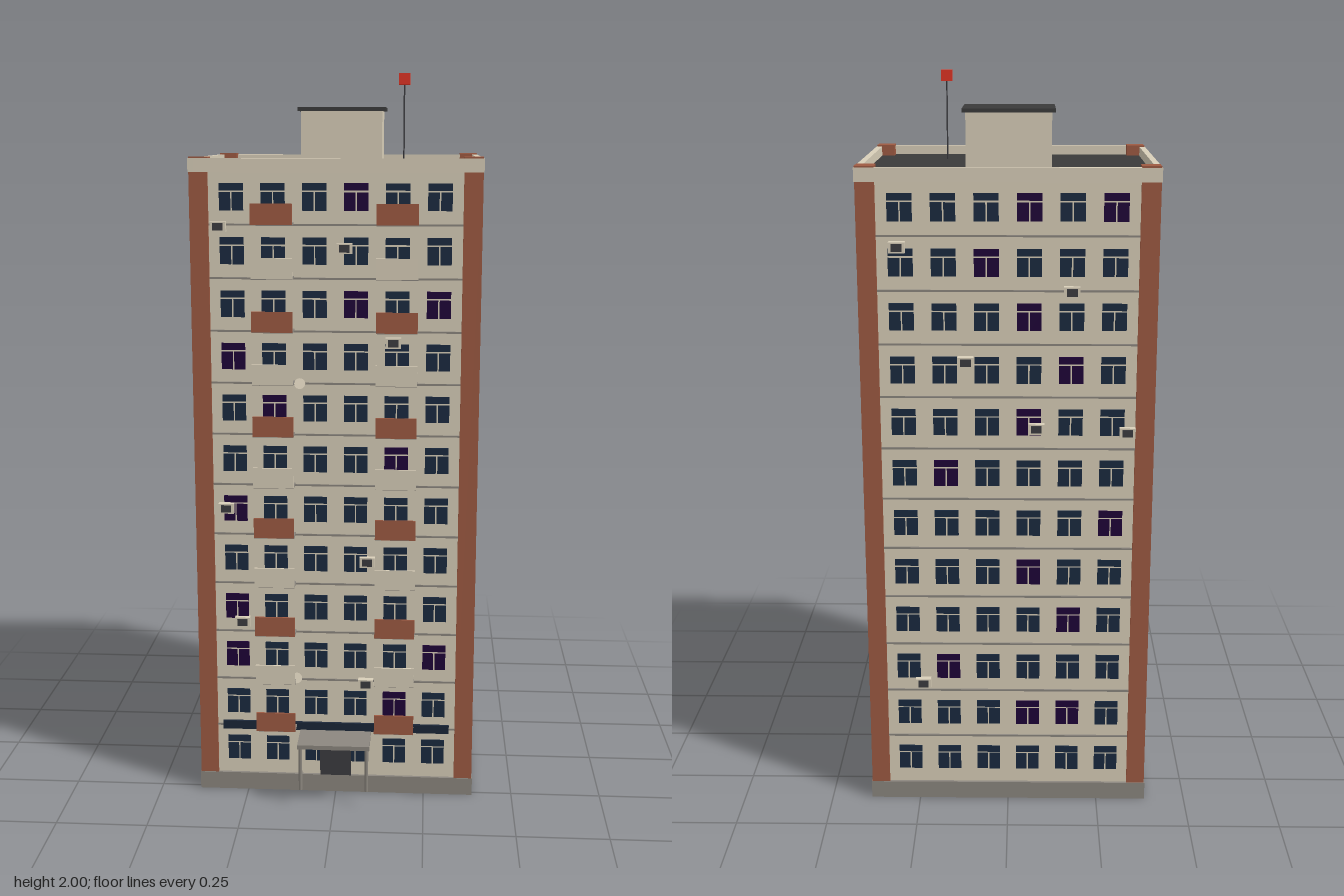
import * as THREE from 'three';
import { mergeGeometries } from 'three/addons/utils/BufferGeometryUtils.js';

const mat = (name, color) => {
  const m = new THREE.MeshStandardMaterial({ color });
  m.name = name;
  return m;
};

export function createModel() {
  const M = {
    wall: mat('beige wall', 0xd9cfb9),
    brick: mat('brick', 0x9e5a42),
    concrete: mat('concrete', 0x8c877f),
    roof: mat('dark roof', 0x3a3a3a),
    glass: mat('blue glass', 0x1a2a40),
    curtain: mat('purple glass', 0x1e0238),
    band: mat('navy band', 0x1a2638),
    metal: mat('dark metal', 0x3c3c40),
    red: mat('beacon red', 0xe03322),
  };
  const model = new THREE.Group();
  model.name = 'apartmentTower';

  const boxGeo = (w, h, d, x, y, z) => new THREE.BoxGeometry(w, h, d).translate(x, y, z);
  const add = (name, material, geos) => {
    const mesh = new THREE.Mesh(Array.isArray(geos) ? mergeGeometries(geos) : geos, material);
    mesh.name = name;
    model.add(mesh);
  };

  // Overall sizes: the tower sits a little behind the origin
  const ZC = -0.047, HX = 0.38, HZ = 0.305, BASE = 0.05, TOP = 1.745, FLOORS = 12;
  const STEP = (TOP - BASE) / FLOORS;
  const FRONT = ZC + HZ, BACK = ZC - HZ;

  // Main body
  add('plinth', M.concrete, boxGeo(0.776, BASE, 0.626, 0, BASE / 2, ZC));
  add('walls', M.wall, boxGeo(2 * HX, TOP - BASE, 2 * HZ, 0, (TOP + BASE) / 2, ZC));
  add('roofDeck', M.roof, boxGeo(0.75, 0.01, 0.6, 0, TOP + 0.005, ZC));

  // Brick corner piers, parapet and floor ledges
  const piers = [];
  for (const sx of [-1, 1]) for (const sz of [-1, 1]) {
    piers.push(boxGeo(0.05, 1.784 - BASE, 0.05, sx * 0.361, (1.784 + BASE) / 2, ZC + sz * 0.286));
  }
  add('cornerPiers', M.brick, piers);
  const parapet = [];
  for (const s of [-1, 1]) {
    parapet.push(boxGeo(0.776, 0.036, 0.016, 0, 1.762, ZC + s * 0.305));
    parapet.push(boxGeo(0.016, 0.036, 0.626, s * 0.38, 1.762, ZC));
  }
  add('parapet', M.wall, parapet);
  const ledges = [];
  for (let i = 1; i < FLOORS; i++) {
    const y = BASE + i * STEP + 0.004;
    ledges.push(boxGeo(0.672, 0.005, 2 * HZ + 0.008, 0, y, ZC));
    ledges.push(boxGeo(2 * HX + 0.008, 0.005, 0.522, 0, y, ZC));
  }
  add('floorLedges', M.concrete, ledges);

  // Windows: a top light above two casements; each face lists its curtained windows as floor * 10 + column
  const panes = { glass: [], curtain: [] };
  const faces = [
    { n: 6, gap: 0.11, off: HZ, turn: 0, mid: 0,
      lit: [124, 104, 106, 91, 82, 75, 61, 41, 31, 36, 25] },
    { n: 6, gap: 0.11, off: HZ, turn: Math.PI, mid: 0,
      lit: [124, 126, 113, 104, 95, 84, 72, 66, 54, 45, 32, 24, 25] },
    { n: 4, gap: 0.125, off: HX, turn: Math.PI / 2, mid: -0.006,
      lit: [124, 111, 102, 94, 81, 72, 64, 52, 41, 32, 24] },
    { n: 4, gap: 0.125, off: HX, turn: -Math.PI / 2, mid: 0.006,
      lit: [122, 113, 101, 83, 74, 62, 51, 43, 31, 22] },
  ];
  for (const f of faces) {
    for (let i = 0; i < FLOORS; i++) for (let j = 0; j < f.n; j++) {
      const x = (j - (f.n - 1) / 2) * f.gap + f.mid;
      const y = BASE + i * STEP + 0.077;
      const z = f.off + 0.001;
      const list = f.lit.includes((i + 1) * 10 + j + 1) ? panes.curtain : panes.glass;
      const parts = [
        boxGeo(0.064, 0.019, 0.004, x, y + 0.026, z),
        boxGeo(0.03, 0.048, 0.004, x - 0.017, y - 0.012, z),
        boxGeo(0.03, 0.048, 0.004, x + 0.017, y - 0.012, z),
      ];
      for (const g of parts) list.push(g.rotateY(f.turn).translate(0, 0, ZC));
    }
  }
  add('windows', M.glass, panes.glass);
  add('curtainedWindows', M.curtain, panes.curtain);

  // Balconies: two columns, brick and beige fronts alternating by floor
  const slabs = [], fronts = { brick: [], wall: [] };
  for (let i = 1; i < FLOORS; i++) {
    const y = BASE + i * STEP + 0.008;
    for (const s of [-1, 1]) {
      slabs.push(boxGeo(0.11, 0.006, 0.05, s * 0.165, y, FRONT + 0.024));
      fronts[i % 2 ? 'brick' : 'wall'].push(
        boxGeo(0.11, 0.055, 0.005, s * 0.165, y + 0.0265, FRONT + 0.05));
    }
  }
  add('balconySlabs', M.concrete, slabs);
  add('brickBalconyFronts', M.brick, fronts.brick);
  add('beigeBalconyFronts', M.wall, fronts.wall);

  // Entrance: door, canopy on two posts, band above
  add('door', M.metal, boxGeo(0.088, 0.115, 0.008, 0, BASE + 0.0575, FRONT + 0.004));
  add('entranceCanopy', M.concrete, boxGeo(0.2, 0.012, 0.112, 0, 0.18, 0.314));
  add('canopyPosts', M.concrete, [-1, 1].map((s) =>
    new THREE.CylinderGeometry(0.005, 0.005, 0.126, 8).translate(s * 0.092, 0.112, 0.36)));
  add('entranceBand', M.band, boxGeo(0.64, 0.024, 0.008, 0, 0.196, FRONT + 0.004));

  // Air conditioners [x, y] on front and back
  const cases = [], grilles = [];
  const units = (list, wallZ, s) => {
    for (const [x, y] of list) {
      cases.push(boxGeo(0.042, 0.028, 0.018, x, y, wallZ + s * 0.009));
      grilles.push(boxGeo(0.028, 0.02, 0.003, x, y, wallZ + s * 0.0185));
    }
  };
  units([[-0.31, 1.603], [0.025, 1.547], [0.155, 1.297], [-0.3, 0.835],
    [0.088, 0.687], [-0.26, 0.507], [0.085, 0.33]], FRONT, 1);
  units([[0.283, 1.58], [0.11, 1.28], [-0.075, 1.1], [-0.165, 1.465],
    [-0.315, 1.09], [0.235, 0.362]], BACK, -1);
  add('airConditioners', M.wall, cases);
  add('airConditionerGrilles', M.metal, grilles);

  // Satellite dishes
  add('satelliteDishes', M.wall, [[-0.095, 1.185], [0.17, 1.63], [-0.108, 0.345]].map(([x, y]) =>
    new THREE.CylinderGeometry(0.015, 0.006, 0.007, 12).rotateX(Math.PI / 2 - 0.35)
      .translate(x, y, FRONT + 0.015)));

  // Rooftop stair house and mast
  add('stairHouse', M.wall, boxGeo(0.226, 0.155, 0.174, 0, 1.8275, -0.097));
  add('stairHouseRoof', M.roof, boxGeo(0.244, 0.01, 0.19, 0, 1.909, -0.097));
  add('mast', M.metal, new THREE.CylinderGeometry(0.002, 0.002, 0.23, 8).translate(0.176, 1.86, 0.106));
  add('beacon', M.red, boxGeo(0.03, 0.03, 0.03, 0.176, 1.985, 0.106));

  return model;
}
